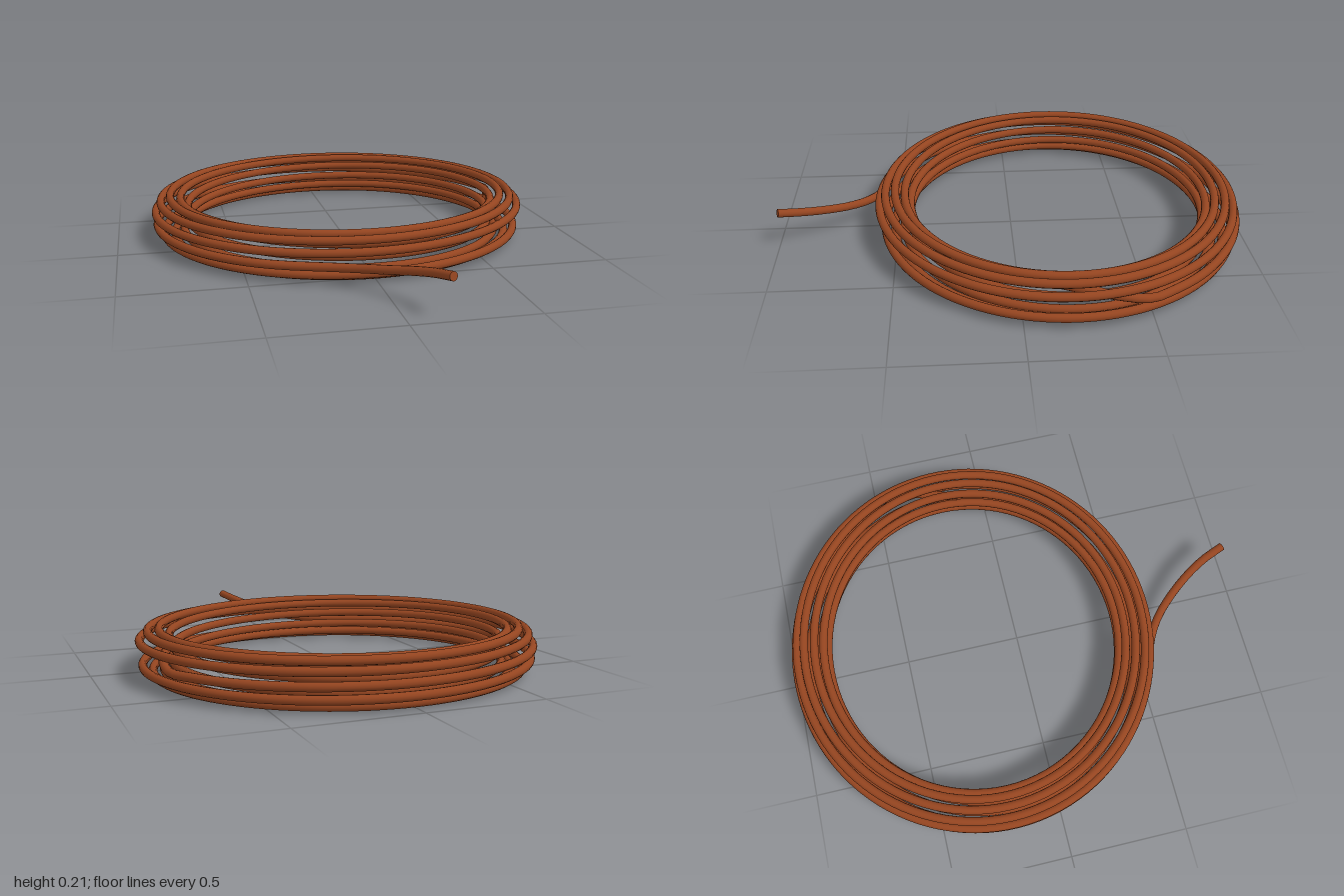
import * as THREE from 'three';

const WIRE = 0.018;

// Point on the bundle: each turn shifts 36 degrees around an oval cross-section
function coilPoint(deg) {
  const a = THREE.MathUtils.degToRad(deg);
  const phase = THREE.MathUtils.degToRad(deg / 10 - 6);
  const bulge = Math.cos(phase);
  return new THREE.Vector3(
    (0.756 + 0.075 * bulge) * Math.cos(a),
    0.103 + 0.085 * Math.sin(phase),
    -0.2 - (0.709 + 0.071 * bulge) * Math.sin(a)
  );
}

export function createModel() {
  const model = new THREE.Group();
  model.name = 'wireCoil';
  const copper = new THREE.MeshStandardMaterial({ color: 0x954520 });
  copper.name = 'copperBrown';

  // Inner end tucked into the bundle
  const points = [
    new THREE.Vector3(0.70, 0.13, -0.12),
    new THREE.Vector3(0.742, 0.124, -0.24),
    new THREE.Vector3(0.777, 0.113, -0.36)
  ];
  // Almost ten turns
  for (let deg = 21; deg <= 9 * 360 + 250; deg += 8) points.push(coilPoint(deg));
  // Free end bending outward and up
  points.push(
    new THREE.Vector3(-0.17, 0.08, 0.575),
    new THREE.Vector3(-0.08, 0.088, 0.632),
    new THREE.Vector3(0.0, 0.104, 0.712),
    new THREE.Vector3(0.07, 0.127, 0.805),
    new THREE.Vector3(0.12, 0.147, 0.893),
    new THREE.Vector3(0.157, 0.165, 0.991)
  );

  const path = new THREE.CatmullRomCurve3(points);
  path.arcLengthDivisions = 4000;
  const wire = new THREE.Mesh(new THREE.TubeGeometry(path, 1000, WIRE, 12), copper);
  wire.name = 'coiledWire';
  model.add(wire);

  // Flat caps on both cut ends
  for (const [name, t, sign] of [['innerEndCap', 0, -1], ['freeEndCap', 1, 1]]) {
    const cap = new THREE.Mesh(new THREE.CircleGeometry(WIRE, 12), copper);
    cap.name = name;
    cap.position.copy(path.getPointAt(t));
    const outward = path.getTangentAt(t).multiplyScalar(sign);
    cap.quaternion.setFromUnitVectors(new THREE.Vector3(0, 0, 1), outward);
    model.add(cap);
  }
  return model;
}
